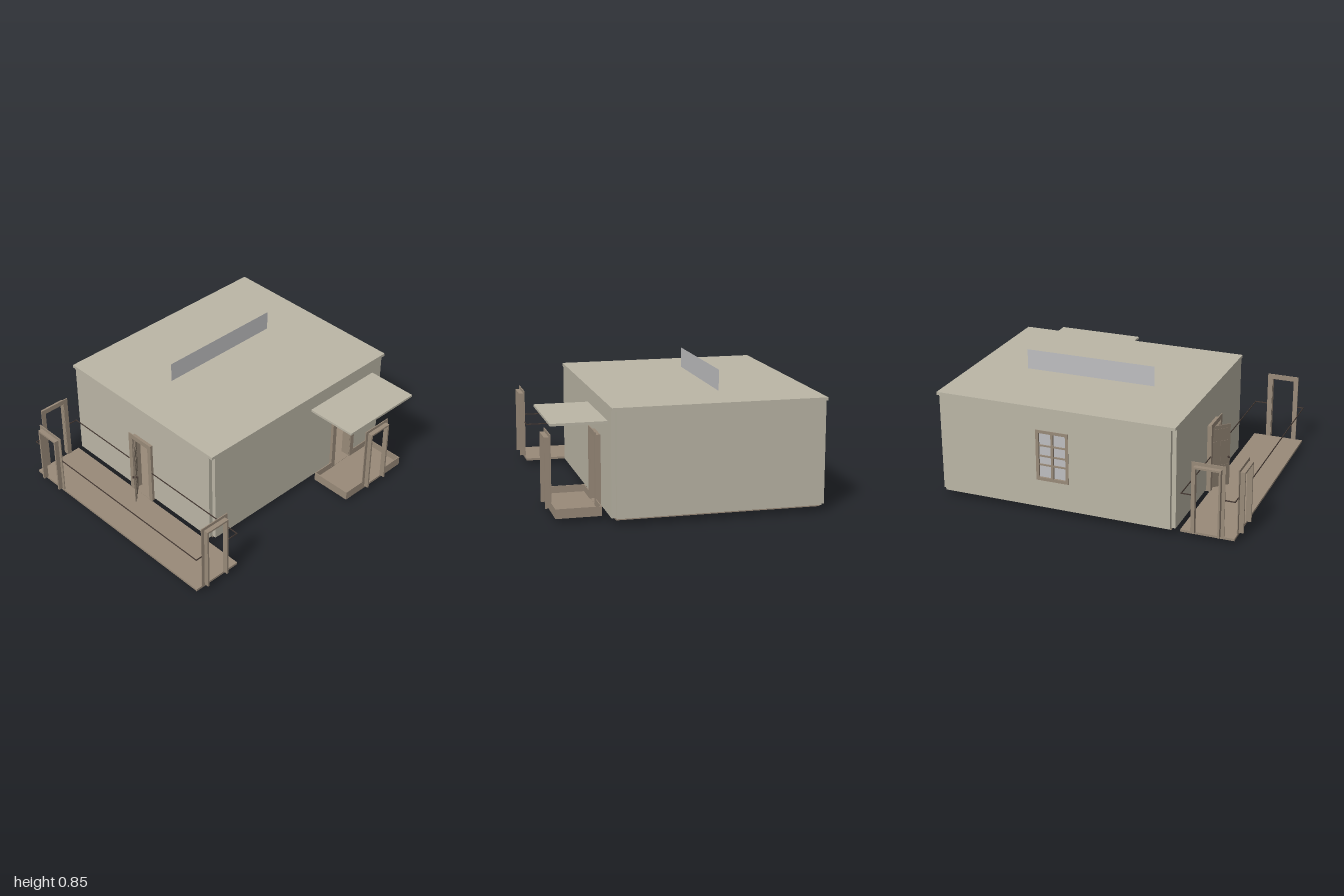
import * as THREE from 'three';

const mat = (name, color) => {
  const m = new THREE.MeshStandardMaterial({ color });
  m.name = name;
  return m;
};

export function createModel() {
  const plaster = mat('plaster', 0xbbb6a6);
  const wood = mat('wood', 0x998a79);
  const doorWood = mat('doorWood', 0x807365);
  const dark = mat('darkTrim', 0x463a34);
  const grey = mat('greyPanel', 0xbfbfc1);
  grey.side = THREE.DoubleSide;

  const model = new THREE.Group();

  // Box given by its minimum and maximum on each axis
  function box(name, m, x0, x1, y0, y1, z0, z1, parent = model) {
    const mesh = new THREE.Mesh(new THREE.BoxGeometry(x1 - x0, y1 - y0, z1 - z0), m);
    mesh.position.set((x0 + x1) / 2, (y0 + y1) / 2, (z0 + z1) / 2);
    mesh.name = name;
    parent.add(mesh);
    return mesh;
  }

  // Wall from u0 to u1 with an optional rectangular opening [a, b, bottom, top]
  function wall(name, u0, u1, hole) {
    const s = new THREE.Shape();
    s.moveTo(u0, 0.045).lineTo(u1, 0.045).lineTo(u1, 0.7).lineTo(u0, 0.7).closePath();
    if (hole) {
      const [a, b, c, d] = hole;
      const h = new THREE.Path();
      h.moveTo(a, c).lineTo(a, d).lineTo(b, d).lineTo(b, c).closePath();
      s.holes.push(h);
    }
    const geo = new THREE.ExtrudeGeometry(s, { depth: 0.027, bevelEnabled: false });
    const mesh = new THREE.Mesh(geo, plaster);
    mesh.name = name;
    model.add(mesh);
    return mesh;
  }

  // House shell: walls stop short of the corners, leaving small notches
  wall('frontWall', -0.82, 0.47, [-0.233, -0.061, 0.046, 0.49]).position.z = 0.568;
  wall('backWall', -0.82, 0.47).position.z = -0.997;
  const rightWall = wall('carportWall', -0.97, 0.568, [-0.671, -0.499, 0.046, 0.49]);
  rightWall.rotation.y = -Math.PI / 2;
  rightWall.position.x = 0.497;
  const leftWall = wall('windowWall', -0.97, 0.568, [-0.31, -0.11, 0.24, 0.56]);
  leftWall.rotation.y = -Math.PI / 2;
  leftWall.position.x = -0.82;
  box('houseFloor', wood, -0.82, 0.47, 0.03, 0.045, -0.97, 0.568);
  box('houseRoof', plaster, -0.847, 0.497, 0.7, 0.72, -1, 0.595);

  // Thin upright panel running through the house
  const panel = new THREE.Mesh(new THREE.PlaneGeometry(0.885, 0.853), grey);
  panel.name = 'dividerPanel';
  panel.rotation.y = Math.PI / 2;
  panel.position.set(-0.26, 0.427, -0.2);
  model.add(panel);
  box('innerDoor', doorWood, -0.13, -0.03, 0.045, 0.48, -0.11, -0.1);
  box('floorLatch', dark, 0.42, 0.44, 0.015, 0.03, -0.045, 0.005);

  // Window with glazing bars
  const win = new THREE.Group();
  win.name = 'window';
  model.add(win);
  for (const z of [-0.32, -0.218, -0.12]) {
    const w = z === -0.218 ? 0.016 : 0.02;
    box('windowUpright', wood, -0.85, -0.815, 0.23, 0.57, z, z + w, win);
  }
  for (const y of [0.23, 0.55]) box('windowRail', wood, -0.85, -0.815, y, y + 0.02, -0.3, -0.12, win);
  for (const y of [0.33, 0.39, 0.46]) box('windowBar', wood, -0.844, -0.824, y, y + 0.01, -0.3, -0.12, win);
  box('windowGlass', grey, -0.836, -0.832, 0.25, 0.55, -0.3, -0.12, win);

  // Door frame: a deep lining with flat casing on its near end, and on the far end if asked
  function doorway(name, x, z, turn, depth, top = 0.49, bothEnds = false) {
    const g = new THREE.Group();
    g.name = name;
    const y0 = 0.045;
    for (const s of [-1, 1]) {
      box('jamb', wood, s * 0.08 - 0.006, s * 0.08 + 0.006, y0, top, -depth, 0, g);
      const ends = bothEnds ? [0, -depth - 0.006] : [0];
      for (const e of ends) box('casing', wood, s * 0.0915 - 0.016, s * 0.0915 + 0.016, y0, top + 0.02, e, e + 0.006, g);
    }
    box('lintel', wood, -0.086, 0.086, top - 0.012, top, -depth, 0, g);
    for (const e of bothEnds ? [0, -depth - 0.006] : [0]) {
      box('headCasing', wood, -0.0755, 0.0755, top - 0.014, top + 0.02, e, e + 0.006, g);
    }
    if (bothEnds) box('threshold', wood, -0.086, 0.086, 0.033, 0.047, -depth, 0, g);
    g.position.set(x, 0, z);
    g.rotation.y = turn;
    model.add(g);
  }
  const Q = Math.PI / 2;
  doorway('frontDoorway', -0.147, 0.625, 0, 0.057, 0.49, true);
  doorway('carportDoorway', 0.53, -0.585, Q, 0.06, 0.49, true);
  doorway('porchGateRight', 0.755, 0.817, -Q, 0.03);
  doorway('porchGateLeft', -0.82, 0.797, Q, 0.03);
  doorway('porchGateFront', -0.647, 0.97, Math.PI, 0.03, 0.45);
  doorway('carportGate', 0.815, -0.585, -Q, 0.03);

  // Panelled doors standing ajar
  function door(name, x, z, turn) {
    const g = new THREE.Group();
    g.name = name;
    box('doorLeaf', doorWood, 0, 0.155, 0.05, 0.478, -0.004, 0.004, g);
    for (const [y0, y1] of [[0.08, 0.2], [0.23, 0.37], [0.39, 0.455]]) {
      for (const u of [0.018, 0.085]) box('doorPanel', doorWood, u, u + 0.052, y0, y1, -0.007, 0.007, g);
    }
    box('doorHandle', dark, 0.138, 0.148, 0.245, 0.255, -0.018, 0.018, g);
    g.position.set(x, 0, z);
    g.rotation.y = turn;
    model.add(g);
  }
  door('frontDoor', -0.222, 0.6, -Math.PI / 4);
  door('carportDoor', 0.485, -0.51, 3 * Math.PI / 4);

  // Porch deck with a slim rail that breaks at each opening
  box('porchDeck', wood, -0.82, 0.755, 0.03, 0.045, 0.625, 0.97);
  const r = 0.004;
  const rail = (x0, x1, z0, z1) => box('porchRail', dark, x0, x1, 0.286, 0.293, z0, z1);
  rail(-0.82, -0.755, 0.97 - r, 0.97);
  rail(-0.54, 0.755, 0.97 - r, 0.97);
  rail(-0.82, -0.255, 0.625, 0.625 + r);
  rail(-0.04, 0.755, 0.625, 0.625 + r);
  for (const [x, c] of [[-0.82, 0.797], [0.755 - r, 0.817]]) {
    rail(x, x + r, 0.625 + r, c - 0.107);
    rail(x, x + r, c + 0.107, 0.97 - r);
  }

  // Carport: floor, low curb with gaps at the doorways, flat roof
  box('carportFloor', wood, 0.53, 0.815, 0.03, 0.045, -0.855, -0.32);
  for (const z of [-0.855, -0.326]) box('carportCurb', wood, 0.53, 0.815, 0.045, 0.09, z, z + 0.006);
  for (const x of [0.53, 0.809]) {
    box('carportCurb', wood, x, x + 0.006, 0.045, 0.09, -0.849, -0.693);
    box('carportCurb', wood, x, x + 0.006, 0.045, 0.09, -0.477, -0.326);
  }
  box('carportRoof', plaster, 0.497, 0.845, 0.605, 0.62, -0.885, -0.29);

  return model;
}
